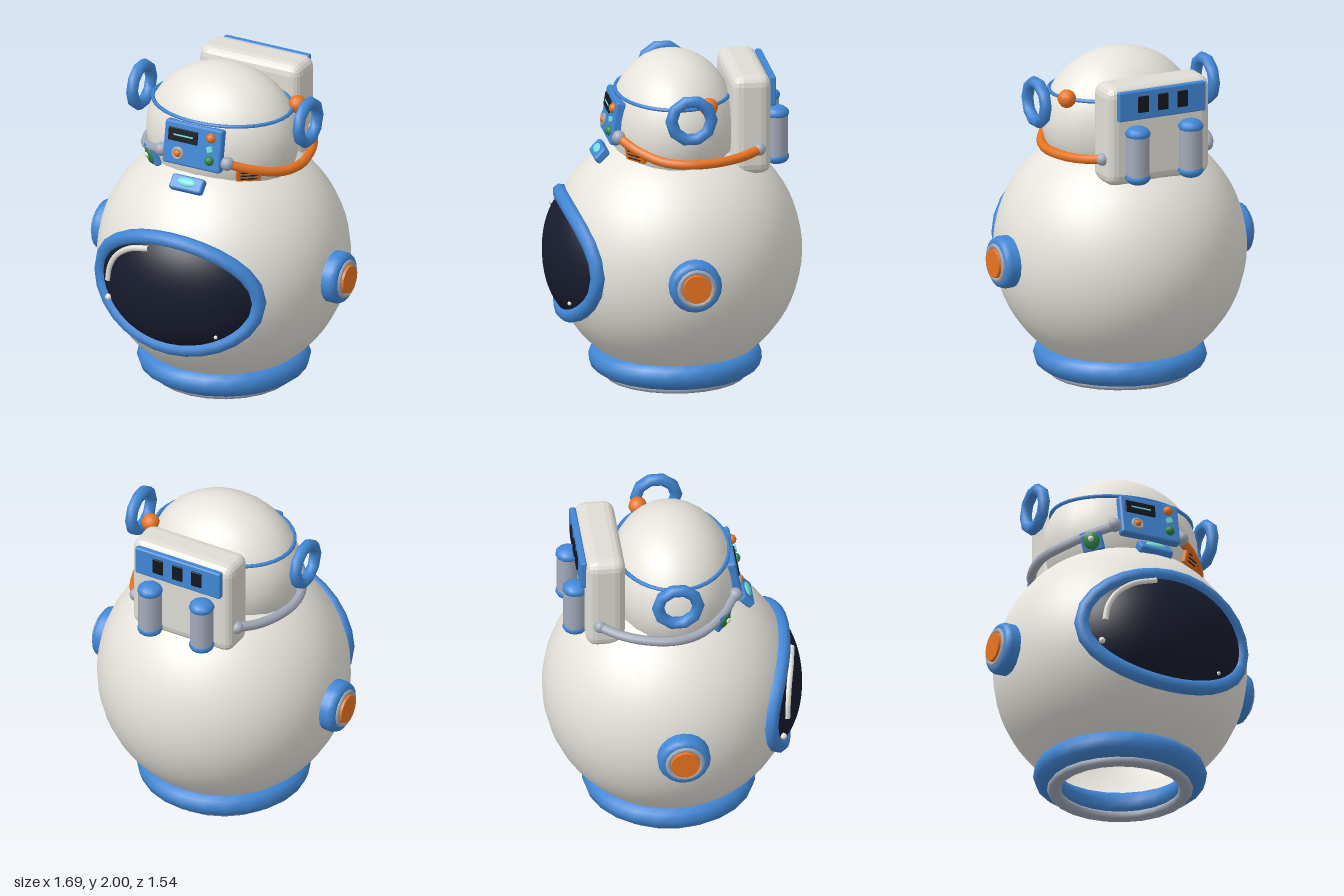
import * as THREE from 'three';
import { RoundedBoxGeometry } from 'three/addons/geometries/RoundedBoxGeometry.js';

const mat = (color, extra = {}) => new THREE.MeshStandardMaterial({ color, ...extra });
const CREAM = mat(0xe6e4dc), SHELL = mat(0xe6e4dc, { side: THREE.DoubleSide });
const PACK = mat(0xdedcd4, { flatShading: true });
const BLUE = mat(0x4187d6), ORANGE = mat(0xea7420), GREY = mat(0xa4abba);
const NAVY = mat(0x171b2d, { side: THREE.DoubleSide }), BLACK = mat(0x14171f);
const GREEN = mat(0x2f8743), CYAN = mat(0x70e0dc);
const V = (x, y, z) => new THREE.Vector3(x, y, z);

const C = V(0, 0.78, -0.02), R = 0.75; // main globe
const D = V(0, 1.57, -0.005), DR = V(0.475, 0.43, 0.375); // upper dome

// point on a sphere around the globe centre, given its front-view position
const onGlobe = (x, y, r) => V(x, C.y + y, C.z + Math.sqrt(r * r - x * x - y * y));

export function createModel() {
  const model = new THREE.Group();
  model.name = 'divingHelmet';

  const add = (name, geo, material, pos = [0, 0, 0], parent = model) => {
    const m = new THREE.Mesh(geo, material);
    m.name = name;
    m.position.set(...pos);
    parent.add(m);
    return m;
  };
  const group = (name, pos, rotX = 0) => {
    const g = new THREE.Group();
    g.name = name;
    g.position.set(...pos);
    g.rotation.x = rotX;
    model.add(g);
    return g;
  };
  const ball = (name, r, material, pos, parent, seg = 12) =>
    add(name, new THREE.SphereGeometry(r, seg, Math.ceil(seg * 0.7)), material, pos, parent);
  const box = (name, w, h, d, r, material, pos, parent) =>
    add(name, new RoundedBoxGeometry(w, h, d, 1, r), material, pos, parent);
  const tube = (name, pts, r, material, closed = false, seg = 24, sides = 8) =>
    add(name, new THREE.TubeGeometry(new THREE.CatmullRomCurve3(pts, closed), seg, r, sides, closed), material);
  const ellipse = (n, f) => Array.from({ length: n }, (_, i) => {
    const a = (i / n) * Math.PI * 2;
    return f(Math.cos(a), Math.sin(a));
  });

  // globe, open at the neck
  add('globe', new THREE.SphereGeometry(R, 40, 28, 0, Math.PI * 2, 0, 2.63), SHELL, C.toArray());

  // neck collar and base ring
  const collar = add('neckCollar', new THREE.TorusGeometry(0.435, 0.08, 10, 24), BLUE, [0, 0.12, C.z]);
  collar.rotation.x = Math.PI / 2;
  const base = add('baseRing', new THREE.TorusGeometry(0.39, 0.042, 8, 24), GREY, [0, 0.03, C.z]);
  base.rotation.x = Math.PI / 2;
  base.scale.z = 0.7;

  // bulging visor glass
  const glass = new THREE.RingGeometry(0.001, 1, 40, 10);
  const gp = glass.attributes.position;
  for (let i = 0; i < gp.count; i++) {
    const x = gp.getX(i), y = gp.getY(i), t = x * x + y * y;
    const p = onGlobe(x * 0.53, y * 0.35, 0.787 - 0.03 * t * t);
    gp.setXYZ(i, p.x, p.y, p.z);
  }
  glass.computeVertexNormals();
  add('visorGlass', glass, NAVY);
  tube('visorFrame', ellipse(24, (c, s) => onGlobe(c * 0.527, s * 0.348, 0.757)), 0.046, BLUE, true, 28);

  // reflections on the glass
  const glint = [[-0.425, -0.01], [-0.41, 0.08], [-0.36, 0.17], [-0.26, 0.245], [-0.12, 0.285]];
  tube('visorGlint', glint.map(([x, y]) => onGlobe(x, y, 0.78)), 0.018, CREAM, false, 16, 6);
  ball('glintDotLarge', 0.02, CREAM, onGlobe(-0.435, -0.135, 0.778).toArray());
  ball('glintDotSmall', 0.012, CREAM, onGlobe(0.31, -0.215, 0.778).toArray());

  // upper dome with its band and side lamp
  add('upperDome', new THREE.SphereGeometry(1, 24, 16, 0, Math.PI * 2, 0, 2.25), CREAM, D.toArray()).scale.copy(DR);
  tube('domeBand', ellipse(24, (c, s) => V(c * 0.433, 1.765, D.z + s * 0.338)), 0.012, BLUE, true, 40, 6);
  ball('sideLamp', 0.055, ORANGE, [0.42, 1.775, -0.155]);

  // parts repeated on both sides
  for (const s of [1, -1]) {
    const side = s > 0 ? 'left' : 'right';

    // round port
    const port = group(side + 'Port', [s * 0.7, C.y, C.z]);
    port.rotation.z = -s * Math.PI / 2;
    const rim = [[0.155, 0], [0.157, 0.085], [0.145, 0.112], [0.12, 0.122], [0, 0.122]];
    add('portRim', new THREE.LatheGeometry(rim.map(p => new THREE.Vector2(...p)), 20), BLUE, [0, 0, 0], port);
    const ring = add('portRing', new THREE.TorusGeometry(0.103, 0.016, 6, 16), GREY, [0, 0.12, 0], port);
    ring.rotation.x = Math.PI / 2;
    add('portButton', new THREE.CylinderGeometry(0.085, 0.092, 0.04, 18), ORANGE, [0, 0.125, 0], port);

    // ear ring
    add(side + 'EarRing', new THREE.TorusGeometry(0.12, 0.037, 8, 10), BLUE, [s * 0.557, 1.738, -0.03])
      .rotation.y = Math.PI / 2;

    // air hose with end joints
    const path = [[0.22, 1.545, 0.345], [0.34, 1.5, 0.26], [0.45, 1.455, 0.12], [0.495, 1.445, -0.03],
      [0.475, 1.445, -0.2], [0.42, 1.455, -0.35], [0.345, 1.475, -0.47]];
    tube(side + 'Hose', path.map(([x, y, z]) => V(s * x, y, z)), 0.029, s > 0 ? ORANGE : GREY);
    ball(side + 'FrontJoint', 0.042, GREY, [s * 0.22, 1.55, 0.35]);
    ball(side + 'BackJoint', 0.038, GREY, [s * 0.345, 1.475, -0.47]);

    // air tank
    const tank = group(side + 'Tank', [s * 0.175, 1.51, -0.598]);
    add('tankBody', new THREE.CylinderGeometry(0.07, 0.07, 0.29, 12), GREY, [0, 0, 0], tank);
    for (const e of [1, -1]) {
      const cap = ball('tankCap', 0.076, BLUE, [0, e * 0.135, 0], tank);
      cap.scale.y = 0.6;
    }
  }

  // backpack
  add('backpack', new RoundedBoxGeometry(0.68, 0.61, 0.235, 2, 0.065), PACK, [0, 1.615, -0.43]);
  box('backPlate', 0.575, 0.18, 0.04, 0.01, BLUE, [0, 1.81, -0.56]);
  for (const x of [-0.13, 0, 0.13]) box('backWindow', 0.068, 0.1, 0.02, 0.004, BLACK, [x, 1.815, -0.578]);

  // front control panel
  const panel = group('controlPanel', [0, 1.62, 0.35], -0.17);
  box('panelBody', 0.385, 0.265, 0.06, 0.015, BLUE, [0, 0, 0], panel);
  box('panelScreen', 0.195, 0.08, 0.02, 0.004, BLACK, [-0.063, 0.054, 0.028], panel);
  box('screenLine', 0.13, 0.01, 0.006, 0.002, CYAN, [-0.06, 0.054, 0.038], panel);
  add('dialRing', new THREE.TorusGeometry(0.03, 0.011, 6, 14), GREY, [-0.09, -0.058, 0.032], panel);
  ball('dialKnob', 0.024, ORANGE, [-0.09, -0.058, 0.032], panel);
  ball('orangeButton', 0.03, ORANGE, [0.122, 0.078, 0.03], panel);
  box('cyanButton', 0.036, 0.036, 0.03, 0.004, CYAN, [0.122, 0.008, 0.032], panel).rotation.z = 0.4;
  ball('greenButton', 0.03, GREEN, [0.122, -0.062, 0.03], panel);

  // small lamp below the panel
  const lamp = group('frontLamp', [0, 1.4, 0.432], -0.75);
  box('lampBody', 0.215, 0.095, 0.055, 0.015, BLUE, [0, 0, 0], lamp);
  ball('lampLens', 1, CYAN, [0, 0.005, 0.026], lamp, 16).scale.set(0.065, 0.028, 0.014);

  // fittings seated on the dome surface
  const onDome = (name, x, y) => {
    const u = (x - D.x) / DR.x, v = (y - D.y) / DR.y, w = Math.sqrt(1 - u * u - v * v);
    const g = group(name, [x, y, D.z + w * DR.z]);
    g.lookAt(g.position.clone().add(V(u / DR.x, v / DR.y, w / DR.z)));
    return g;
  };
  const badge = onDome('gauge', -0.32, 1.46);
  badge.rotateZ(0.2);
  box('gaugePlate', 0.13, 0.13, 0.04, 0.012, BLUE, [0, 0, 0.01], badge);
  ball('gaugeLens', 1, GREEN, [0, 0, 0.028], badge, 16).scale.set(0.05, 0.055, 0.018);
  ball('gaugeDot', 0.018, CREAM, [0, 0.01, 0.042], badge);
  const vent = onDome('vent', 0.315, 1.47);
  box('ventPlate', 0.15, 0.085, 0.03, 0.008, ORANGE, [0, 0, 0.005], vent);
  for (const y of [-0.022, 0, 0.022]) box('ventSlot', 0.1, 0.008, 0.008, 0.002, BLACK, [0, y, 0.02], vent);

  return model;
}
